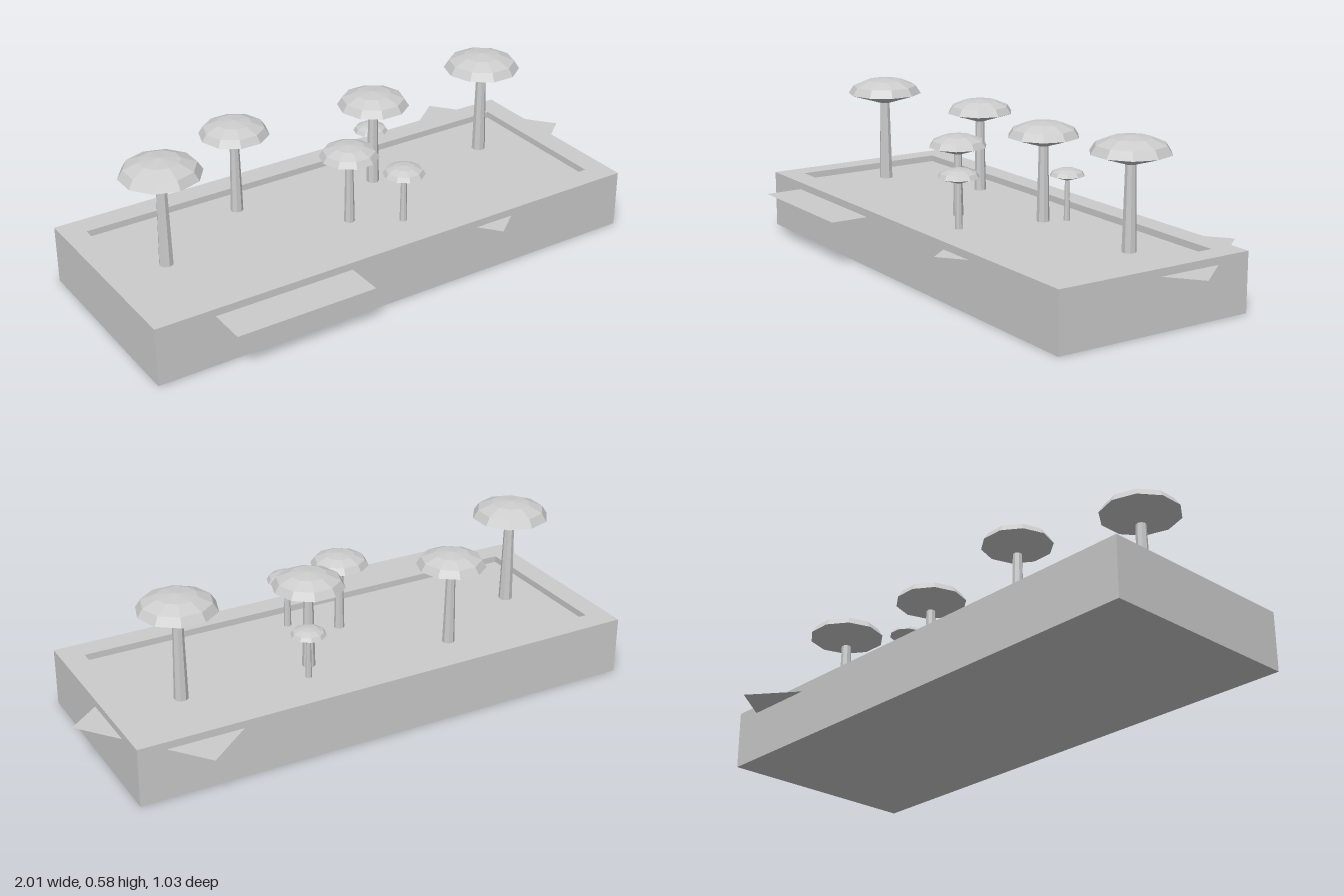
import * as THREE from 'three';

const SOIL = 0.188;

// x, z, cap radius, cap top height, turn about the stem
const MUSHROOMS = [
  [-0.77, 0.01, 0.141, 0.585, 0],
  [-0.39, -0.185, 0.124, 0.54, 1],
  [-0.1, 0.1, 0.105, 0.485, 1],
  [0.06, 0.2, 0.075, 0.403, 1],
  [0.135, -0.105, 0.129, 0.548, 1],
  [0.175, -0.18, 0.063, 0.378, 1],
  [0.62, -0.105, 0.14, 0.58, 1],
];

function rectangle(PathType, x0, x1, z0, z1) {
  const path = new PathType();
  path.moveTo(x0, -z1);
  path.lineTo(x1, -z1);
  path.lineTo(x1, -z0);
  path.lineTo(x0, -z0);
  path.closePath();
  return path;
}

export function createModel() {
  const model = new THREE.Group();
  const grey = new THREE.MeshStandardMaterial({ color: 0xcccccc });
  grey.name = 'light grey';
  grey.flatShading = true;
  grey.side = THREE.DoubleSide;

  const add = (parent, name, geometry, x = 0, y = 0, z = 0) => {
    const mesh = new THREE.Mesh(geometry, grey);
    mesh.name = name;
    mesh.position.set(x, y, z);
    parent.add(mesh);
    return mesh;
  };

  // Planter walls with a rectangular opening
  const outline = rectangle(THREE.Shape, -1, 0.893, -0.38, 0.38);
  outline.holes.push(rectangle(THREE.Path, -0.917, 0.81, -0.295, 0.295));
  const walls = new THREE.ExtrudeGeometry(outline, { depth: 0.212, bevelEnabled: false });
  walls.rotateX(-Math.PI / 2);
  add(model, 'planterWalls', walls);

  // Soil fills the opening
  add(model, 'soil', new THREE.BoxGeometry(1.727, SOIL, 0.59), -0.0535, SOIL / 2, 0);

  // Flat sheets under the soil, sticking out through the walls
  const sheet = (name, w, d, x, z, turn) => {
    const geometry = new THREE.PlaneGeometry(w, d).rotateX(-Math.PI / 2).rotateY(turn);
    add(model, name, geometry, x, SOIL - 0.003, z);
  };
  sheet('straightSheet', 0.517, 0.88, -0.527, 0.08, 0);
  sheet('turnedSheet', 0.9, 0.52, 0.495, -0.03, Math.atan2(0.56, 0.7));

  // Mushrooms: tapered stem, shallow cone underside and squashed dome
  for (const [x, z, r, top, turn] of MUSHROOMS) {
    const mushroom = new THREE.Group();
    mushroom.name = 'mushroom';
    mushroom.position.set(x, 0, z);
    mushroom.rotation.y = turn * Math.PI / 10;
    model.add(mushroom);

    const dome = r * 0.42;
    const rim = top - dome;
    const under = rim - r * 0.26;
    const profile = [new THREE.Vector2(0, under), new THREE.Vector2(r * 0.16, under)];
    for (let i = 3; i >= 0; i--) {
      const a = i * Math.PI / 6;
      profile.push(new THREE.Vector2(r * Math.sin(a), rim + dome * Math.cos(a)));
    }
    add(mushroom, 'cap', new THREE.LatheGeometry(profile, 10));

    const height = under + 0.005 - SOIL;
    add(mushroom, 'stem', new THREE.CylinderGeometry(r * 0.13, r * 0.18, height, 8),
      0, SOIL + height / 2, 0);
  }
  return model;
}
